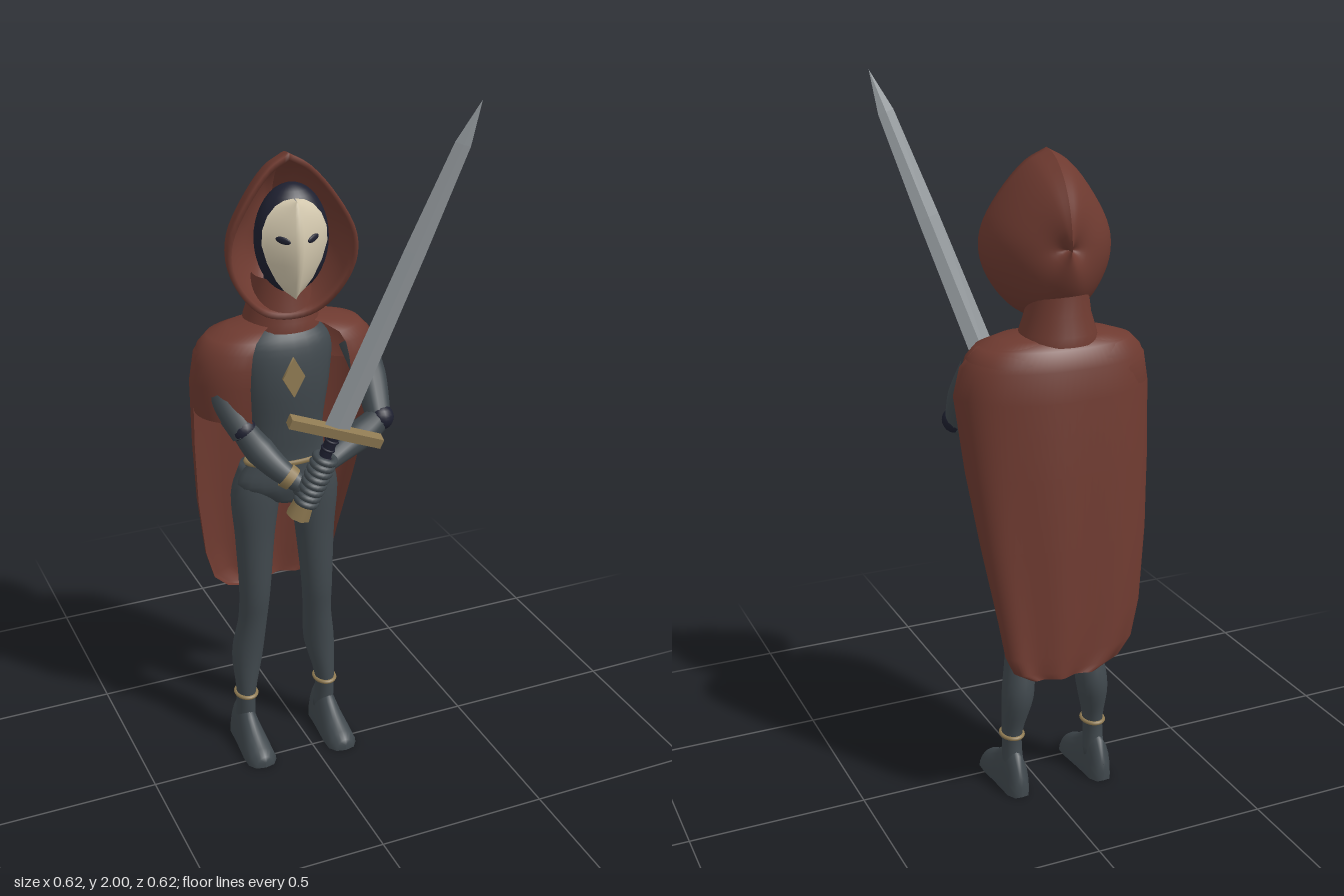
import * as THREE from 'three';

const mat = (name, color, side = THREE.FrontSide) => {
  const m = new THREE.MeshStandardMaterial({ color, side });
  m.name = name;
  return m;
};
const V = (x, y, z) => new THREE.Vector3(x, y, z);

// Surface through rows of points; closed joins each row's end to its start.
function skin(rows, closed = true, flat = false) {
  const n = rows[0].length, idx = [];
  for (let i = 0; i < rows.length - 1; i++)
    for (let j = 0; j < (closed ? n : n - 1); j++) {
      const a = i * n + j, b = i * n + (j + 1) % n;
      idx.push(a, b, b + n, a, b + n, a + n);
    }
  let g = new THREE.BufferGeometry().setFromPoints(rows.flat());
  g.setIndex(idx);
  if (flat) g = g.toNonIndexed();
  g.computeVertexNormals();
  return g;
}

// Upright body from ellipses [x, y, z, rx, rz], listed from bottom to top, smoothed between.
function loft(sections, n = 20) {
  const spline = k => new THREE.CatmullRomCurve3(sections.map(s => V(...k.map(i => s[i]))), false, 'centripetal');
  const rows = [], steps = sections.length * 4;
  const c = spline([0, 1, 2]), r = spline([3, 1, 4]);
  const ring = (p, rx, rz) => Array.from({ length: n }, (_, j) => {
    const a = j / n * Math.PI * 2;
    return V(p.x + rx * Math.cos(a), p.y, p.z - rz * Math.sin(a));
  });
  for (let i = 0; i <= steps; i++) {
    const p = c.getPoint(i / steps), q = r.getPoint(i / steps);
    if (i === 0) rows.push(ring(p, 0, 0));
    rows.push(ring(p, q.x, q.z));
    if (i === steps) rows.push(ring(p, 0, 0));
  }
  return skin(rows);
}

// Tapered tube along a smooth path, with one radius per path point.
function limb(points, radii) {
  const curve = new THREE.CatmullRomCurve3(points.map(p => V(...p)));
  const n = 24, sides = 14;
  const g = new THREE.TubeGeometry(curve, n, 1, sides), pos = g.attributes.position, v = V();
  for (let i = 0; i < pos.count; i++) {
    const t = Math.floor(i / (sides + 1)) / n, c = curve.getPointAt(t);
    const f = t * (radii.length - 1), k = Math.min(Math.floor(f), radii.length - 2);
    const r = THREE.MathUtils.lerp(radii[k], radii[k + 1], f - k);
    v.fromBufferAttribute(pos, i).sub(c).multiplyScalar(r).add(c);
    pos.setXYZ(i, v.x, v.y, v.z);
  }
  return g;
}

export function createModel() {
  const root = new THREE.Group();
  const cloth = mat('russet cloth', 0x6e3a30, THREE.DoubleSide);
  const suit = mat('slate suit', 0x40484d);
  const gold = mat('dull gold', 0x8f7a52);
  const bone = mat('bone mask', 0xd3c8ae, THREE.DoubleSide);
  const dark = mat('midnight', 0x1e2030);
  const steel = mat('steel', 0x949a9e);
  const add = (name, geo, m, parent = root) => {
    const mesh = new THREE.Mesh(geo, m);
    mesh.name = name;
    parent.add(mesh);
    return mesh;
  };
  const CX = -0.045;

  // Torso, belt and chest diamond
  add('torso', loft([[CX, 0.82, -0.085, 0.05, 0.045], [CX, 0.88, -0.085, 0.145, 0.06], [CX, 0.96, -0.08, 0.115, 0.052],
    [CX, 1.05, -0.075, 0.105, 0.058], [CX, 1.2, -0.075, 0.125, 0.072], [CX, 1.3, -0.085, 0.13, 0.07], [CX, 1.35, -0.1, 0.09, 0.06]]), suit);
  const belt = add('belt', new THREE.TorusGeometry(0.12, 0.008, 8, 40).rotateX(Math.PI / 2).scale(1, 1, 0.48), gold);
  belt.position.set(CX, 0.952, -0.08);
  const diamond = add('chestDiamond', new THREE.CylinderGeometry(0.058, 0.058, 0.008, 4).rotateX(Math.PI / 2).scale(0.56, 1, 1), gold);
  diamond.position.set(-0.055, 1.22, 0.001);

  // Legs, feet and ankle bands
  for (const s of [-1, 1]) {
    const leg = new THREE.Group();
    leg.name = s < 0 ? 'rightLeg' : 'leftLeg';
    leg.position.set(CX, 0, s < 0 ? -0.015 : 0);
    root.add(leg);
    add('legBody', loft([[s * 0.125, 0.06, -0.105, 0.03, 0.038], [s * 0.125, 0.17, -0.095, 0.028, 0.036], [s * 0.113, 0.3, -0.11, 0.045, 0.052],
      [s * 0.1, 0.42, -0.095, 0.042, 0.047], [s * 0.095, 0.52, -0.085, 0.045, 0.05], [s * 0.09, 0.7, -0.09, 0.057, 0.057],
      [s * 0.085, 0.85, -0.09, 0.071, 0.06], [s * 0.075, 0.94, -0.085, 0.055, 0.045]]), suit, leg);
    const band = add('ankleBand', new THREE.TorusGeometry(0.03, 0.006, 8, 24).rotateX(Math.PI / 2).scale(1, 1, 1.25), gold, leg);
    band.position.set(s * 0.125, 0.17, -0.095);
    const foot = [[-0.172, 0, 0.03], [-0.17, 0.02, 0.06], [-0.145, 0.034, 0.12], [-0.1, 0.036, 0.14], [-0.05, 0.04, 0.105],
      [0, 0.045, 0.068], [0.04, 0.044, 0.05], [0.062, 0.028, 0.034], [0.068, 0, 0.02]];
    add('foot', skin(foot.map(([z, w, h]) => Array.from({ length: 20 }, (_, j) => {
      const a = j / 20 * Math.PI * 2;
      return V(s * 0.127 + w * Math.cos(a), Math.max(0, h * Math.sin(a)), z);
    }))), suit, leg);
  }

  // Arms reaching to the grip
  add('rightUpperArm', limb([[-0.23, 1.27, -0.09], [-0.235, 1.18, -0.06], [-0.195, 1.07, -0.01]], [0.05, 0.046, 0.036]), suit);
  add('rightForearm', limb([[-0.2, 1.09, -0.015], [-0.17, 1.04, 0.01], [-0.12, 0.98, 0.05], [-0.06, 0.93, 0.085]], [0.034, 0.042, 0.034, 0.024]), suit);
  add('leftUpperArm', limb([[0.165, 1.27, -0.08], [0.18, 1.18, -0.02], [0.175, 1.08, 0.055]], [0.05, 0.045, 0.034]), suit);
  add('leftForearm', limb([[0.185, 1.09, 0.05], [0.14, 1.06, 0.06], [0.06, 1.02, 0.075], [-0.01, 0.99, 0.1]], [0.034, 0.043, 0.034, 0.024]), suit);
  for (const [name, x, y, z] of [['rightElbow', -0.198, 1.085, -0.012], ['leftElbow', 0.18, 1.085, 0.055]])
    add(name, new THREE.SphereGeometry(0.037, 16, 12), dark).position.set(x, y, z);
  const cuff = add('wristCuff', new THREE.CylinderGeometry(0.033, 0.037, 0.025, 16), gold);
  cuff.position.set(-0.095, 0.957, 0.063);
  cuff.quaternion.setFromUnitVectors(V(0, 1, 0), V(0.06, -0.05, 0.038).normalize());

  // Sword, with local y running from pommel to tip and x along the guard
  const sword = new THREE.Group();
  sword.name = 'sword';
  const up = V(0.38, 1.135, 0.225).normalize();
  const across = V(0.26, -0.08, 0.035);
  across.addScaledVector(up, -across.dot(up)).normalize();
  sword.setRotationFromMatrix(new THREE.Matrix4().makeBasis(across, up, across.clone().cross(up)));
  sword.position.set(-0.07, 0.865, 0.085);
  root.add(sword);
  add('blade', skin([[0.25, 0], [0.25, 0.037], [0.8, 0.03], [1.1, 0.022], [1.218, 0]].map(([y, w]) =>
    [V(w, y, 0), V(0, y, -w * 0.24), V(-w, y, 0), V(0, y, w * 0.24)]), true, true), steel, sword);
  add('guard', new THREE.BoxGeometry(0.27, 0.028, 0.034), gold, sword).position.y = 0.257;
  add('pommel', new THREE.CylinderGeometry(0.03, 0.036, 0.045, 8), gold, sword);
  add('grip', new THREE.CylinderGeometry(0.017, 0.017, 0.24, 12), dark, sword).position.y = 0.13;
  for (let i = 0; i < 8; i++)
    add('gripWrap', new THREE.TorusGeometry(0.017, 0.004, 6, 16).rotateX(Math.PI / 2), dark, sword).position.y = 0.04 + i * 0.027;
  for (const [name, y, s] of [['rightHand', 0.065, -1], ['leftHand', 0.145, 1]]) {
    const hand = new THREE.Group();
    hand.name = name;
    hand.position.y = y;
    sword.add(hand);
    add('palm', new THREE.SphereGeometry(0.036, 16, 12).scale(0.8, 1, 1), suit, hand).position.set(s * 0.016, 0, -0.012);
    for (let i = 0; i < 4; i++)
      add('finger', new THREE.TorusGeometry(0.027, 0.0105, 8, 20).rotateX(Math.PI / 2), suit, hand).position.set(0, -0.03 + i * 0.02, 0.008);
  }

  // Head, mask and hood, turned slightly to the model's right
  const head = new THREE.Group();
  head.name = 'head';
  head.position.set(-0.05, 1.59, -0.022);
  head.rotation.y = -0.125;
  root.add(head);
  add('headBase', new THREE.SphereGeometry(1, 28, 20).scale(0.1, 0.148, 0.075), dark, head).position.set(0.005, 0.008, -0.02);
  add('neck', new THREE.CylinderGeometry(0.05, 0.06, 0.2, 16), dark, head).position.set(0, -0.16, -0.085);
  const bulge = y => 1 - 0.55 * ((y - 0.005) / 0.135) ** 2;
  const maskZ = (u, y) => 0.032 + 0.06 * bulge(y) * (1 - Math.abs(u) ** 1.15) - 0.012 * (1 - bulge(y));
  const face = [[-0.14, 0.004], [-0.12, 0.028], [-0.09, 0.05], [-0.04, 0.074], [0.01, 0.088], [0.05, 0.086],
    [0.085, 0.072], [0.11, 0.05], [0.122, 0.028], [0.126, 0.002]];
  add('mask', skin(face.map(([y, w]) => Array.from({ length: 17 }, (_, j) => {
    const u = j / 8 - 1;
    return V(u * w, y, maskZ(u, y));
  })), false), bone, head);
  for (const s of [-1, 1]) {
    const eye = add('eye', new THREE.SphereGeometry(1, 16, 8).scale(0.021, 0.0095, 0.0045), dark, head);
    eye.position.set(s * 0.04, 0.03, maskZ(0.46, 0.03) + 0.001);
    eye.rotation.set(0, s * 0.58, s * 0.22);
  }

  // Hood: a teardrop rim drawn back to a rounded crown, with an inner lining
  const rim = new THREE.CatmullRomCurve3([[0, 0.232], [0.055, 0.2], [0.125, 0.115], [0.172, 0.02], [0.172, -0.06], [0.13, -0.145],
    [0.07, -0.2], [0, -0.215], [-0.07, -0.2], [-0.13, -0.145], [-0.172, -0.06], [-0.172, 0.02], [-0.125, 0.115], [-0.055, 0.2], [0, 0.232]]
    .map(([x, y]) => V(x, y, 0))).getPoints(56);
  const hoodRow = (t, scale, depth) => rim.map(p => V(p.x * Math.cos(t) * scale, p.y * Math.cos(t) * scale,
    0.02 - 0.6 * p.y * p.y - depth * Math.sin(t)));
  const hood = [];
  for (let i = 12; i >= 0; i--) hood.push(hoodRow(i / 12 * Math.PI / 2, 0.93, 0.2));
  for (let i = 0; i <= 16; i++) hood.push(hoodRow(i / 16 * Math.PI / 2, 1, 0.222));
  add('hood', skin(hood, false), cloth, head);

  // Flared collar
  add('collar', skin([[1.335, 0.108, 0.102], [1.36, 0.104, 0.1], [1.41, 0.088, 0.086], [1.48, 0.078, 0.08]].map(([y, rx, rz]) =>
    Array.from({ length: 28 }, (_, j) => {
      const a = j / 28 * Math.PI * 2;
      return V(-0.04 + rx * Math.cos(a), y, -0.128 - rz * Math.sin(a));
    }))), cloth);

  // Shoulder mantle, open over the chest
  for (const s of [-1, 1]) {
    const hem = s < 0 ? 1.11 : 1.17;
    const rows = [[0.3, 1.36], [0.6, 1.348], [0.82, 1.328], [0.92, 1.3], [0.97, 1.26], [1, 1.21], [0.97, hem]].map(([k, y]) =>
      Array.from({ length: 29 }, (_, j) => {
        const a = THREE.MathUtils.degToRad(25 + 155 * j / 28);
        return V(-0.038 + s * 0.268 * k * Math.max(0, Math.sin(a)) ** 0.7, y, -0.11 + 0.138 * k * Math.cos(a));
      }));
    add(s < 0 ? 'rightMantle' : 'leftMantle', skin(rows, false), cloth);
  }

  // Cape from sections: height, right edge, left edge, front depth, back depth
  const cape = [[1.35, -0.14, 0.07, -0.1, -0.2], [1.33, -0.25, 0.18, -0.1, -0.232], [1.28, -0.297, 0.226, -0.095, -0.25],
    [1.2, -0.312, 0.241, -0.085, -0.262], [1, -0.298, 0.228, -0.13, -0.277], [0.8, -0.276, 0.206, -0.18, -0.288],
    [0.6, -0.242, 0.178, -0.228, -0.3], [0.5, -0.21, 0.166, -0.25, -0.305], [0.455, -0.165, 0.148, -0.265, -0.307], [0.435, -0.11, 0.11, -0.274, -0.307]];
  add('cape', skin(cape.map(([y, x0, x1, zf, zb]) => Array.from({ length: 41 }, (_, j) => {
    const a = (j / 40 - 0.5) * Math.PI, fold = 0.008 * (1.35 - y) * Math.cos(a) * Math.cos(7 * a + 1.5);
    return V((x0 + x1) / 2 + (x1 - x0) / 2 * Math.sin(a), y, zf + (zb - zf) * Math.max(0, Math.cos(a)) ** 0.8 + fold);
  })), false), cloth);

  return root;
}
